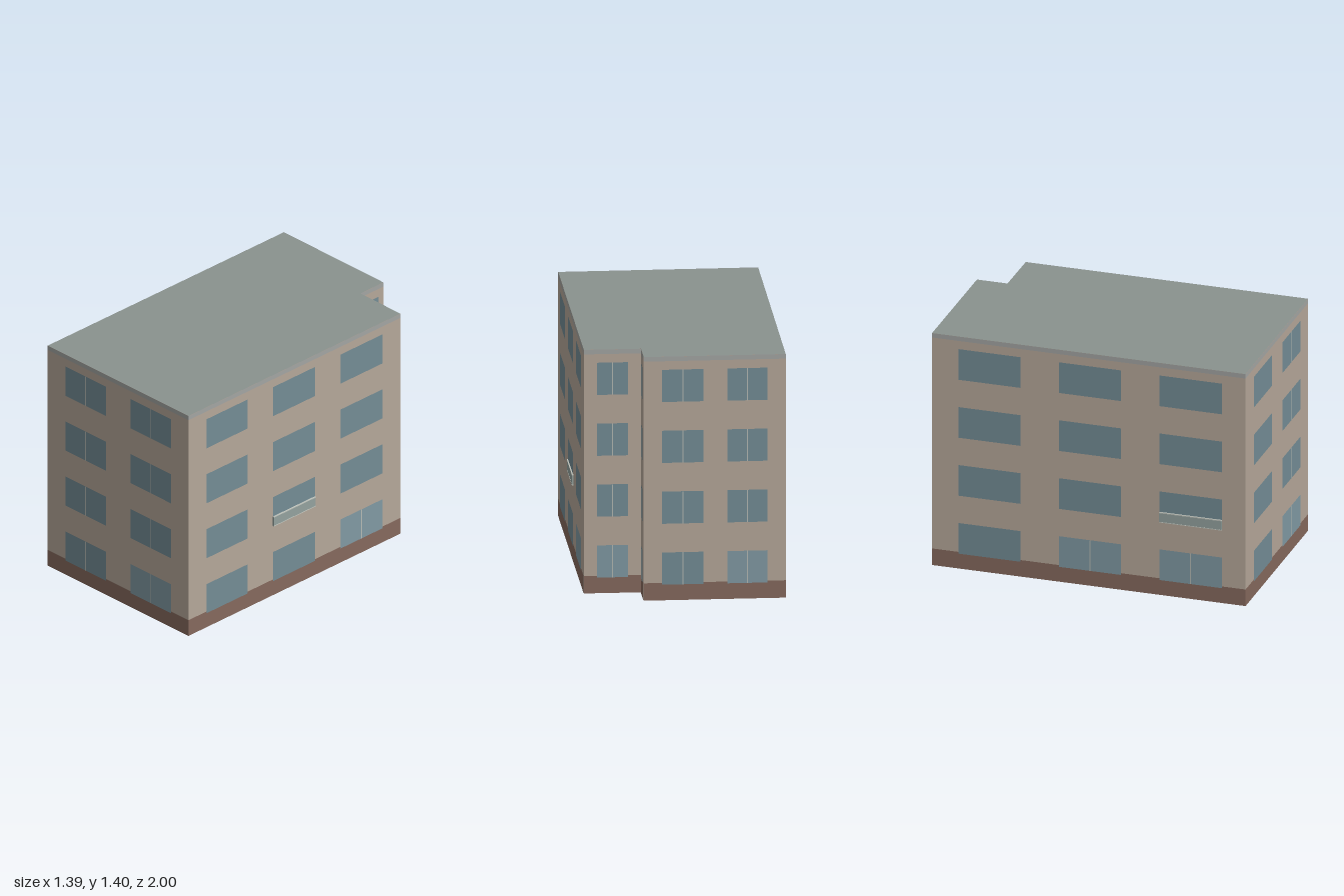
import * as THREE from 'three';

const HEIGHT = 1.4;
const WINDOW_HEIGHT = 0.185;
const SILLS = [0.09, 0.44, 0.79, 1.14];

const paint = (color, side = THREE.FrontSide) => new THREE.MeshStandardMaterial({ color, side });
const wallPaint = paint(0xb5a799, THREE.DoubleSide);
const roofPaint = paint(0x8a928e, THREE.DoubleSide);
const plinthPaint = paint(0x85695d);
const trimPaint = paint(0xa3a5a3);
const glassPaint = paint(0x738c95);
const shopGlassPaint = paint(0x8099a3);
const mullionPaint = paint(0xb4bab4);
const railPaint = paint(0xc4c8c0);
const panelPaint = paint(0x93a29e);

// Footprint corners (x, z), anticlockwise seen from above, starting at the front.
// Each wall runs from its corner to the next; spans are window limits along it.
// bars: 'all' or the ground floor windows that have a mullion.
const WALLS = [
  { name: 'frontWall', at: [-0.7, 0.8], spans: [[0.128, 0.416], [0.589, 0.877]], bars: 'all', bright: [1] },
  { name: 'leftLongWall', at: [0.395, 1.0], spans: [[0.083, 0.278], [0.398, 0.596], [0.716, 0.914]], bars: [2], balcony: 1 },
  { name: 'notchBackWall', at: [0.692, -0.62], spans: [[0.23, 0.77]], bars: 'all', bright: [0] },
  { name: 'notchSideWall', at: [0.38, -0.68], spans: [[0.24, 0.78]], bars: 'all', bright: [0] },
  { name: 'backWall', at: [0.412, -0.855], spans: [[0.13, 0.42], [0.59, 0.87]], bars: 'all', bright: [1] },
  { name: 'rightLongWall', at: [-0.365, -1.0], spans: [[0.085, 0.283], [0.405, 0.604], [0.726, 0.925]], bars: [1, 2], balcony: 2 },
];

// Flat panel between x0..x1 and y0..y1, lifted off the wall by z
function panel(parent, name, material, x0, x1, y0, y1, z) {
  const mesh = new THREE.Mesh(new THREE.PlaneGeometry(x1 - x0, y1 - y0), material);
  mesh.name = name;
  mesh.position.set((x0 + x1) / 2, (y0 + y1) / 2, z);
  parent.add(mesh);
}

function bar(parent, name, material, x0, x1, y0, y1, depth) {
  const mesh = new THREE.Mesh(new THREE.BoxGeometry(x1 - x0, y1 - y0, depth), material);
  mesh.name = name;
  mesh.position.set((x0 + x1) / 2, (y0 + y1) / 2, depth / 2);
  parent.add(mesh);
}

// Shallow balcony guard with a rail along its top and bottom
function addBalcony(wall, x0, x1, y) {
  const balcony = new THREE.Group();
  balcony.name = 'balcony';
  bar(balcony, 'balconyPanel', panelPaint, x0, x1, y + 0.004, y + 0.056, 0.008);
  bar(balcony, 'balconyFloor', railPaint, x0, x1, y, y + 0.004, 0.009);
  bar(balcony, 'balconyRail', railPaint, x0, x1, y + 0.056, y + 0.062, 0.009);
  wall.add(balcony);
}

function makeWall(spec, next) {
  const dx = next[0] - spec.at[0], dz = next[1] - spec.at[1];
  const length = Math.hypot(dx, dz);
  const wall = new THREE.Group();
  wall.name = spec.name;
  wall.position.set(spec.at[0], 0, spec.at[1]);
  wall.rotation.y = Math.atan2(-dz, dx);

  panel(wall, 'wallSurface', wallPaint, 0, length, 0, HEIGHT, 0);
  panel(wall, 'plinth', plinthPaint, 0, length, 0, 0.1, 0.0012);
  panel(wall, 'roofTrim', trimPaint, 0, length, HEIGHT - 0.026, HEIGHT, 0.0012);

  // Windows on every floor
  SILLS.forEach((y, floor) => spec.spans.forEach(([a, b], i) => {
    const x0 = a * length, x1 = b * length, mid = (x0 + x1) / 2;
    const ground = floor === 0;
    const hasBar = spec.bars === 'all' || (ground && spec.bars.includes(i));
    const bright = ground && (spec.bars === 'all' ? spec.bright.includes(i) : hasBar);
    panel(wall, 'window', bright ? shopGlassPaint : glassPaint, x0, x1, y, y + WINDOW_HEIGHT, 0.0024);
    if (hasBar) panel(wall, 'mullion', mullionPaint, mid - 0.003, mid + 0.003, y, y + WINDOW_HEIGHT, 0.0036);
    if (floor === 1 && spec.balcony === i) addBalcony(wall, x0, x1, y);
  }));
  return wall;
}

export function createModel() {
  const model = new THREE.Group();
  model.name = 'apartmentBuilding';

  WALLS.forEach((spec, i) => model.add(makeWall(spec, WALLS[(i + 1) % WALLS.length].at)));

  // Flat roof; the underside stays open
  const outline = new THREE.Shape(WALLS.map(({ at }) => new THREE.Vector2(at[0], -at[1])));
  const roof = new THREE.Mesh(new THREE.ShapeGeometry(outline).rotateX(-Math.PI / 2), roofPaint);
  roof.name = 'roof';
  roof.position.y = HEIGHT;
  model.add(roof);

  return model;
}
